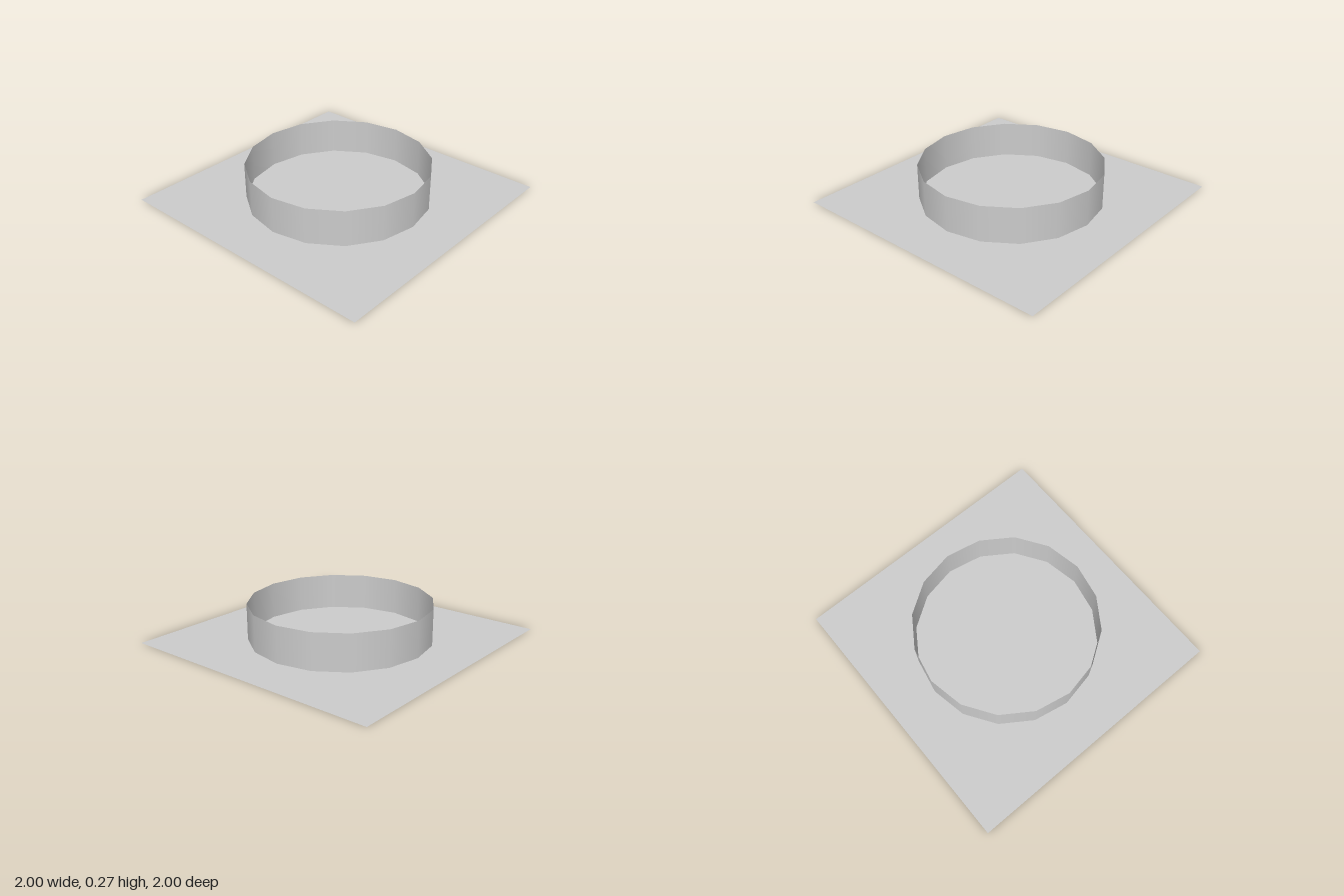
import * as THREE from 'three';

const SIZE = 2;
const RADIUS = 2 / 3;
const HEIGHT = 0.267;
const SIDES = 16;

export function createModel() {
  const group = new THREE.Group();
  group.name = 'ringOnBase';
  const material = new THREE.MeshStandardMaterial({ color: 0xcccccc, side: THREE.DoubleSide });

  // Flat square sheet on the ground
  const base = new THREE.Mesh(new THREE.PlaneGeometry(SIZE, SIZE).rotateX(-Math.PI / 2), material);
  base.name = 'basePlate';
  group.add(base);

  // Thin open ring wall standing on the sheet
  const wall = new THREE.Mesh(
    new THREE.CylinderGeometry(RADIUS, RADIUS, HEIGHT, SIDES, 1, true).translate(0, HEIGHT / 2, 0),
    material
  );
  wall.name = 'ringWall';
  group.add(wall);

  return group;
}
